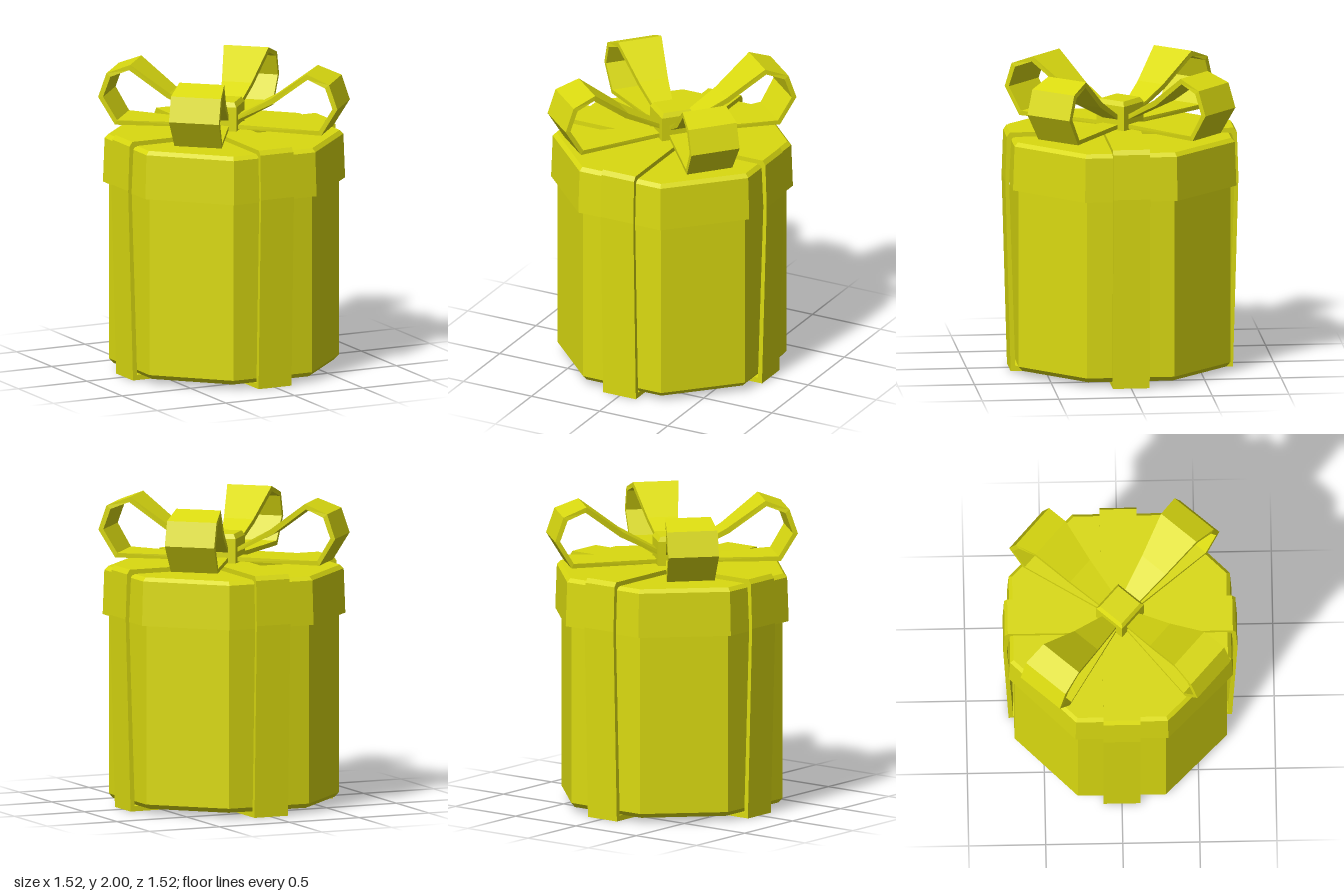
import * as THREE from 'three';

const yellow = new THREE.MeshStandardMaterial({ color: 0xdada10 });
yellow.name = 'yellow';

function facetedMesh(geometry, name) {
  const g = geometry.index ? geometry.toNonIndexed() : geometry;
  g.computeVertexNormals();
  const mesh = new THREE.Mesh(g, yellow);
  mesh.name = name;
  return mesh;
}

// Prism with flat sides; the profile gives [half width across flats, height]
function prism(profile, sides, name) {
  const k = 1 / Math.cos(Math.PI / sides);
  const points = profile.map(([r, y]) => new THREE.Vector2(r * k, y));
  return facetedMesh(new THREE.LatheGeometry(points, sides, Math.PI / sides), name);
}

// Flat closed strap around the whole box
function strap(name) {
  const mirrored = (half) => [
    ...half.map(([x, y]) => new THREE.Vector2(x, y)),
    ...half.slice().reverse().map(([x, y]) => new THREE.Vector2(-x, y)),
  ];
  const shape = new THREE.Shape(mirrored([[0.725, 0], [0.76, 1.26], [0.75, 1.555], [0.73, 1.585]]));
  shape.holes.push(new THREE.Path(mirrored([[0.695, 0.035], [0.735, 1.26], [0.722, 1.535], [0.71, 1.55]])));
  const g = new THREE.ExtrudeGeometry(shape, { depth: 0.24, bevelEnabled: false });
  g.translate(0, 0, -0.12);
  return facetedMesh(g, name);
}

// Bow loop along +x: stations of outer x, y, inner x, y, half width
function bowLoop(name) {
  const stations = [
    [0.06, 1.592, 0.06, 1.62, 0.05],
    [0.69, 1.6, 0.675, 1.63, 0.158],
    [0.8, 1.78, 0.767, 1.782, 0.167],
    [0.745, 1.94, 0.718, 1.918, 0.167],
    [0.59, 2.0, 0.597, 1.965, 0.15],
    [0.34, 1.815, 0.36, 1.785, 0.1],
    [0.06, 1.66, 0.06, 1.63, 0.05],
  ];
  const pos = [];
  const quad = (a, b, c, d) => pos.push(...a, ...b, ...c, ...a, ...c, ...d);
  const corners = stations.map(([x, y, u, v, w]) => ({
    ol: [x, y, w], or: [x, y, -w], il: [u, v, w], ir: [u, v, -w],
  }));
  corners.forEach((p, i) => {
    const q = corners[(i + 1) % corners.length];
    quad(p.ol, p.or, q.or, q.ol); // outside
    quad(p.il, q.il, q.ir, p.ir); // inside
    quad(p.ol, q.ol, q.il, p.il); // edges
    quad(p.or, p.ir, q.ir, q.or);
  });
  const g = new THREE.BufferGeometry();
  g.setAttribute('position', new THREE.Float32BufferAttribute(pos, 3));
  return facetedMesh(g, name);
}

export function createModel() {
  const model = new THREE.Group();
  model.name = 'giftBox';

  // Eight-sided box and lid with bevelled rims
  model.add(prism([[0, 0.035], [0.665, 0.035], [0.69, 0.065], [0.69, 1.26], [0, 1.26]], 8, 'boxBody'));
  model.add(prism([[0, 1.24], [0.728, 1.24], [0.718, 1.53], [0.695, 1.555], [0, 1.555]], 8, 'lid'));

  // Two crossing straps
  for (let i = 0; i < 2; i++) {
    const s = strap('strap' + (i + 1));
    s.rotation.y = i * Math.PI / 2;
    model.add(s);
  }

  // Four-loop bow with a square knot, turned between the straps
  const bow = new THREE.Group();
  bow.name = 'bow';
  bow.rotation.y = -41.3 * Math.PI / 180;
  for (let i = 0; i < 4; i++) {
    const loop = bowLoop('bowLoop' + (i + 1));
    loop.rotation.y = i * Math.PI / 2;
    bow.add(loop);
  }
  bow.add(prism([[0, 1.58], [0.11, 1.58], [0.11, 1.745], [0.092, 1.775], [0, 1.775]], 4, 'knot'));
  model.add(bow);
  return model;
}
